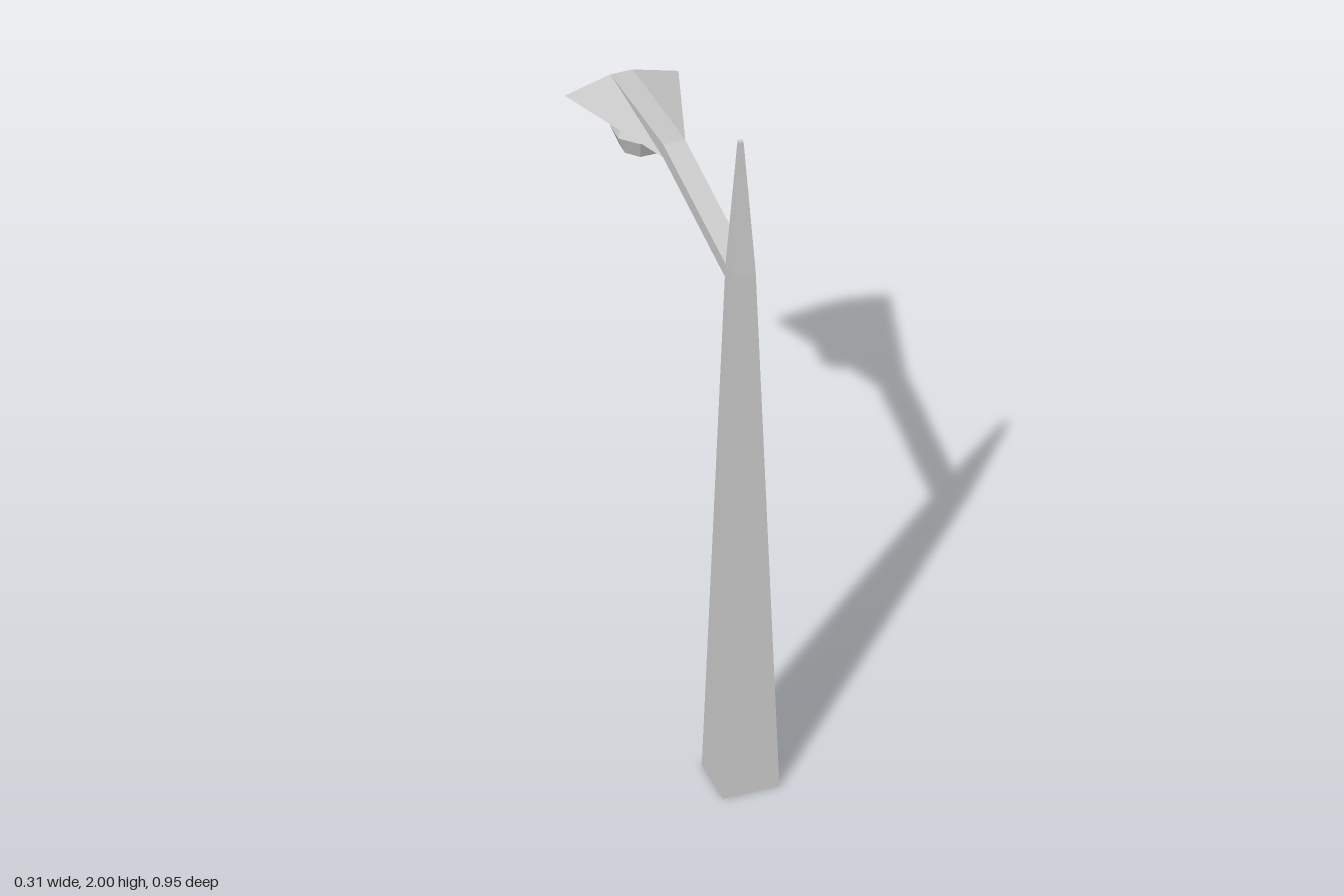
import * as THREE from 'three';

const material = new THREE.MeshStandardMaterial({ color: 0xcccccc, flatShading: true });

// Joins four-cornered cross-sections into a closed solid; corners run
// counter-clockwise when seen from the end the sections advance towards.
function loft(name, sections) {
  const pos = [];
  const tri = (a, b, c) => pos.push(...a, ...b, ...c);
  for (let s = 0; s < sections.length - 1; s++) {
    const a = sections[s], b = sections[s + 1];
    for (let i = 0; i < 4; i++) {
      const j = (i + 1) % 4;
      // mirror the diagonal on one side so both wings fold alike
      if (i === 1) {
        tri(a[i], a[j], b[i]);
        tri(a[j], b[j], b[i]);
      } else {
        tri(a[i], a[j], b[j]);
        tri(a[i], b[j], b[i]);
      }
    }
  }
  const f = sections[0], l = sections[sections.length - 1];
  tri(f[0], f[2], f[1]);
  tri(f[0], f[3], f[2]);
  tri(l[0], l[1], l[2]);
  tri(l[0], l[2], l[3]);
  const geo = new THREE.BufferGeometry();
  geo.setAttribute('position', new THREE.Float32BufferAttribute(pos, 3));
  geo.computeVertexNormals();
  const mesh = new THREE.Mesh(geo, material);
  mesh.name = name;
  return mesh;
}

// Horizontal square of the pole
const square = (y, h, z = 0.395) => [[-h, y, z + h], [h, y, z + h], [h, y, z - h], [-h, y, z - h]];

// Upright arm section: top half-width t, bottom half-width b
const armSection = (z, top, bottom, t, b) => [[-b, bottom, z], [-t, top, z], [t, top, z], [b, bottom, z]];

export function createModel() {
  const group = new THREE.Group();
  group.name = 'streetLamp';

  // Tapered square pole with a sharper spire above the arm
  group.add(loft('pole', [square(0, 0.077), square(1.6, 0.03), square(2, 0.006)]));

  // Rising arm
  const elbow = armSection(-0.09, 1.667, 1.626, 0.03, 0.03);
  group.add(loft('arm', [armSection(0.367, 1.6, 1.556, 0.03, 0.03), elbow]));

  // Hood flaring out at its lower edges
  group.add(loft('hood', [elbow, armSection(-0.475, 1.627, 1.591, 0.03, 0.155)]));

  // Faceted bulb under the hood
  const bulb = new THREE.Mesh(new THREE.SphereGeometry(0.081, 8, 4), material);
  bulb.name = 'bulb';
  bulb.rotation.y = Math.PI / 8;
  bulb.position.set(0, 1.556, -0.33);
  group.add(bulb);

  return group;
}
